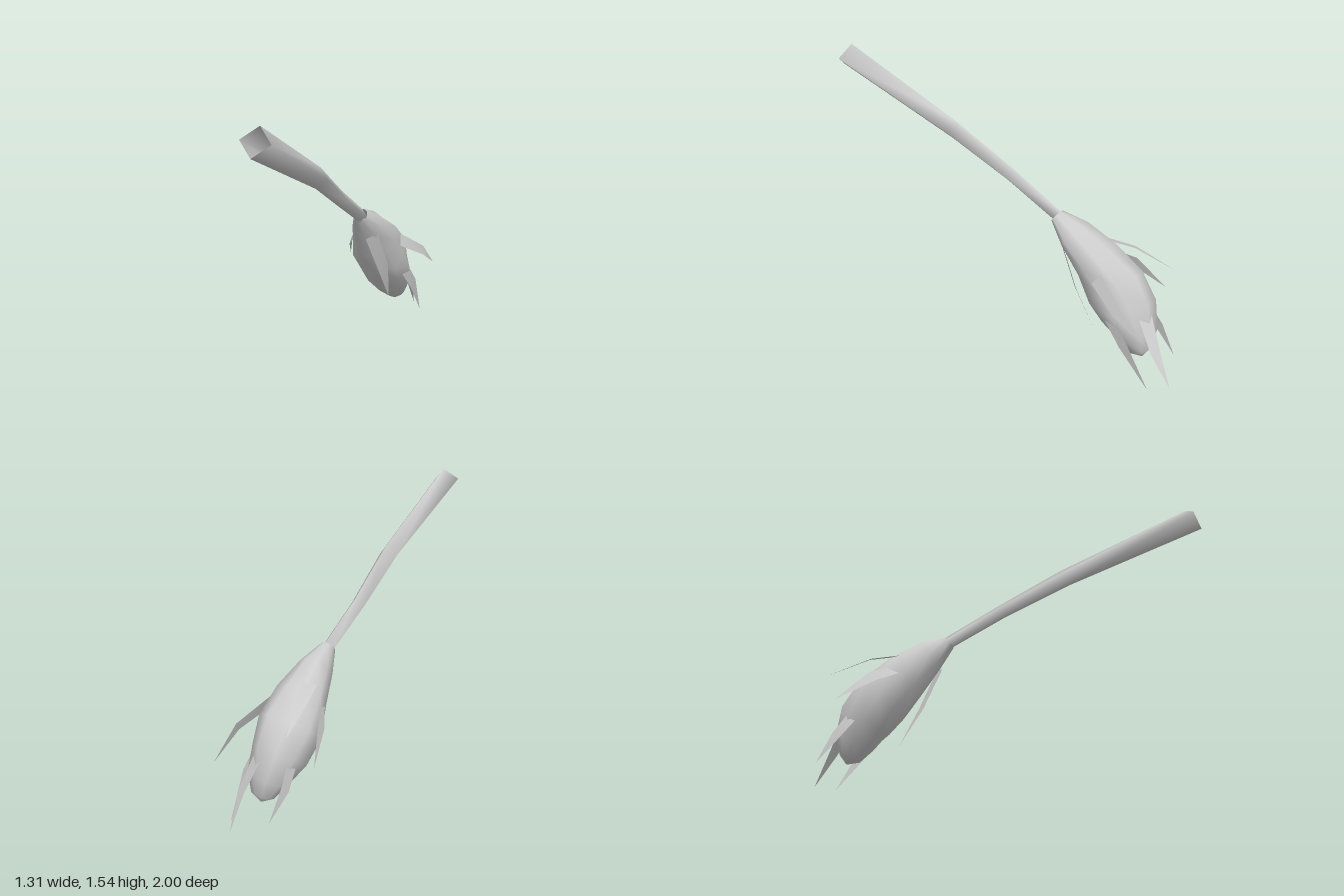
import * as THREE from 'three';

const V = (a) => new THREE.Vector3(a[0], a[1], a[2]);

function meshGeometry(points, index) {
  const geo = new THREE.BufferGeometry().setFromPoints(points);
  geo.setIndex(index);
  geo.computeVertexNormals();
  return geo;
}

// Open tube through rings [x, y, z, radius]; lump varies the radius by ring and side
function loft(rings, sides, startAxis, lump = () => 1) {
  const ref = V([0.86, -0.09, -0.5]);
  const points = [], index = [];
  rings.forEach((ring, i) => {
    const before = rings[Math.max(i - 1, 0)];
    const after = rings[Math.min(i + 1, rings.length - 1)];
    const t = (i === 0 && startAxis ? V(startAxis) : V(after).sub(V(before))).normalize();
    const u = ref.clone().addScaledVector(t, -ref.dot(t)).normalize();
    const v = t.clone().cross(u);
    for (let j = 0; j < sides; j++) {
      const a = (j / sides) * Math.PI * 2;
      const r = ring[3] * lump(i, j);
      points.push(V(ring).addScaledVector(u, Math.cos(a) * r).addScaledVector(v, Math.sin(a) * r));
      if (i < rings.length - 1) {
        const k = (j + 1) % sides;
        const p = i * sides + j, q = i * sides + k;
        index.push(p, q, p + sides, q, q + sides, p + sides);
      }
    }
  });
  return meshGeometry(points, index);
}

// Flat pointed strip: base, middle, tip, widened across the outward direction
function leaf(base, mid, tip, core, baseWidth, midWidth) {
  const b = V(base), m = V(mid), t = V(tip);
  const out = m.clone().sub(core);
  const side = t.clone().sub(b).cross(out).normalize();
  const at = (p, w) => p.clone().addScaledVector(side, w / 2);
  return meshGeometry(
    [at(b, baseWidth), at(b, -baseWidth), at(m, midWidth), at(m, -midWidth), t],
    [0, 2, 1, 1, 2, 3, 2, 4, 3]
  );
}

export function createModel() {
  const model = new THREE.Group();
  model.name = 'flowerBud';
  const grey = new THREE.MeshStandardMaterial({ color: 0xcccccc, side: THREE.DoubleSide });
  grey.name = 'paleGrey';
  const add = (name, geo, parent = model) => {
    const mesh = new THREE.Mesh(geo, grey);
    mesh.name = name;
    parent.add(mesh);
  };

  // Four-sided hollow stem, narrowing towards the bud
  add('stem', loft([
    [0.586, 1.472, 0.96, 0.08],
    [0.2, 1.155, 0.31, 0.058],
    [0, 0.96, 0, 0.045],
    [-0.15, 0.79, -0.275, 0.04],
  ], 4, [-0.475, -0.506, -0.718]));

  // Lumpy bud, bending downwards
  const budRings = [
    [-0.145, 0.795, -0.27, 0.042],
    [-0.2, 0.71, -0.37, 0.098],
    [-0.275, 0.595, -0.49, 0.14],
    [-0.34, 0.47, -0.6, 0.172],
    [-0.37, 0.35, -0.68, 0.156],
    [-0.385, 0.23, -0.75, 0.112],
    [-0.39, 0.145, -0.785, 0.06],
    [-0.395, 0.115, -0.8, 0.004],
  ];
  add('bud', loft(budRings, 9, null, (i, j) =>
    i === 0 ? 1 : 1 + 0.06 * Math.sin(j * 2.1 + i * 1.7)));

  // Pointed leaves around the bud: base, middle, tip, base width, middle width
  const leaves = new THREE.Group();
  leaves.name = 'leaves';
  model.add(leaves);
  [
    [[-0.35, 0.61, -0.41], [-0.51, 0.53, -0.5], [-0.66, 0.38, -0.62], 0.05, 0.07],
    [[-0.27, 0.72, -0.42], [-0.46, 0.67, -0.58], [-0.625, 0.56, -0.75], 0.09, 0.065],
    [[-0.485, 0.36, -0.65], [-0.545, 0.23, -0.73], [-0.58, 0.085, -0.84], 0.07, 0.06],
    [[-0.39, 0.42, -0.78], [-0.4, 0.2, -0.91], [-0.445, 0.01, -1.0], 0.09, 0.06],
    [[-0.215, 0.4, -0.67], [-0.255, 0.23, -0.81], [-0.335, 0.003, -0.95], 0.08, 0.07],
    [[-0.135, 0.65, -0.35], [-0.16, 0.43, -0.465], [-0.225, 0.205, -0.57], 0.08, 0.07],
    [[-0.185, 0.57, -0.63], [-0.19, 0.465, -0.83], [-0.27, 0.335, -1.0], 0.08, 0.06],
  ].forEach(([base, mid, tip, bw, mw], n) => {
    // Nearest bud centre decides which way is outward
    const b = V(base);
    const core = budRings.map(V).sort((p, q) => p.distanceTo(b) - q.distanceTo(b))[0];
    add('leaf' + (n + 1), leaf(base, mid, tip, core, bw, mw), leaves);
  });

  return model;
}
